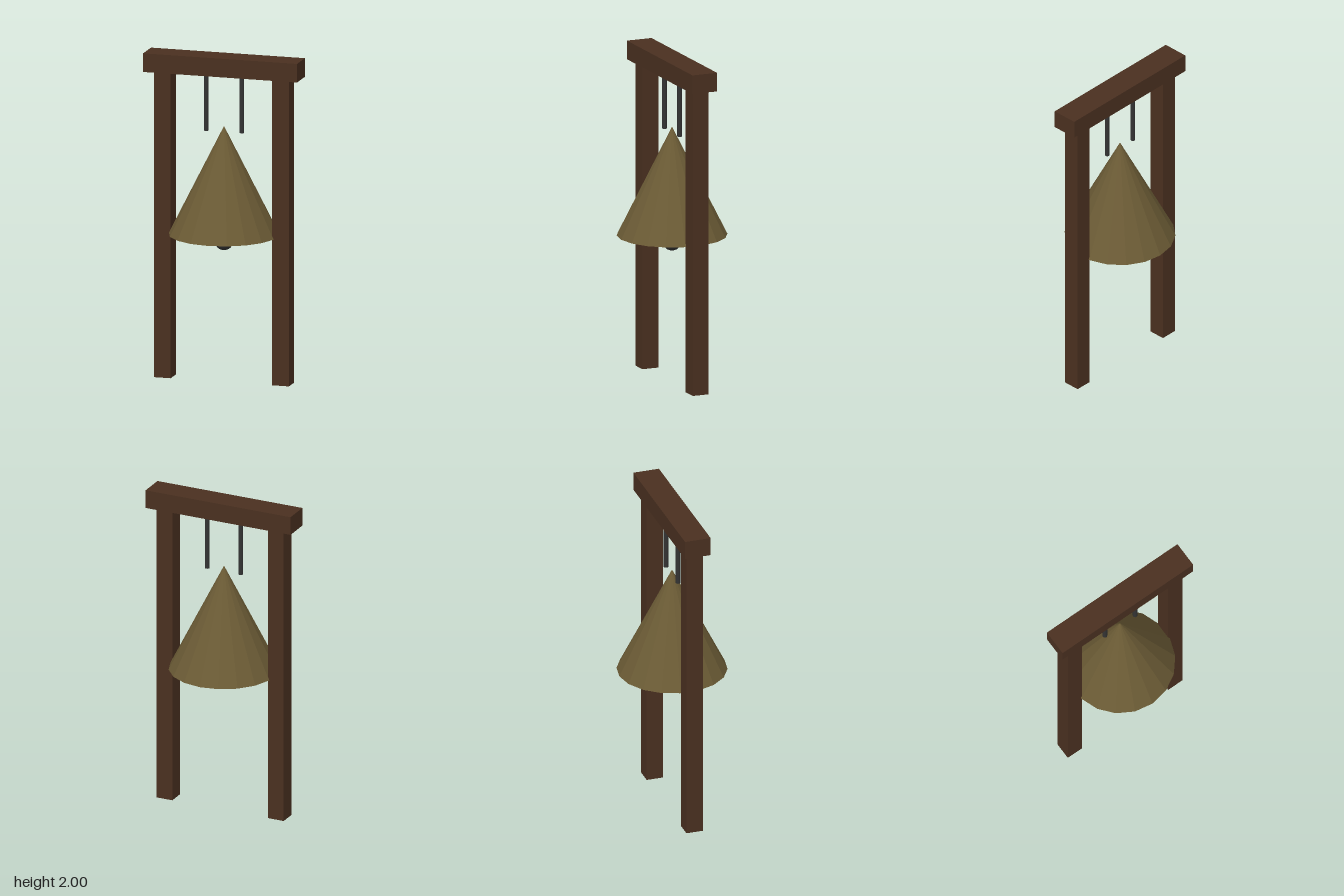
import * as THREE from 'three';

export function createModel() {
  const model = new THREE.Group();
  const wood = new THREE.MeshStandardMaterial({ color: 0x4a3020, flatShading: true });
  const bronze = new THREE.MeshStandardMaterial({ color: 0x6b5b35, flatShading: true });
  const iron = new THREE.MeshStandardMaterial({ color: 0x333333 });

  const add = (name, geometry, material, x, y) => {
    const mesh = new THREE.Mesh(geometry, material);
    mesh.name = name;
    mesh.position.set(x, y, 0);
    model.add(mesh);
  };

  // Crossbeam
  add('crossbeam', new THREE.BoxGeometry(0.968, 0.115, 0.162), wood, 0, 1.9425);

  // Posts and hanging rods, mirrored left and right
  for (const [side, s] of [['left', 1], ['right', -1]]) {
    add(side + 'Post', new THREE.BoxGeometry(0.105, 1.885, 0.105), wood, s * 0.372, 0.9425);
    add(side + 'Rod', new THREE.CylinderGeometry(0.0145, 0.0145, 0.37, 12), iron, s * 0.112, 1.717);
  }

  // Bell with a closed base, and the clapper below it
  add('bell', new THREE.ConeGeometry(0.334, 0.667, 18), bronze, 0, 1.2335);
  add('clapper', new THREE.SphereGeometry(0.058, 16, 12), iron, 0, 0.86);

  return model;
}
